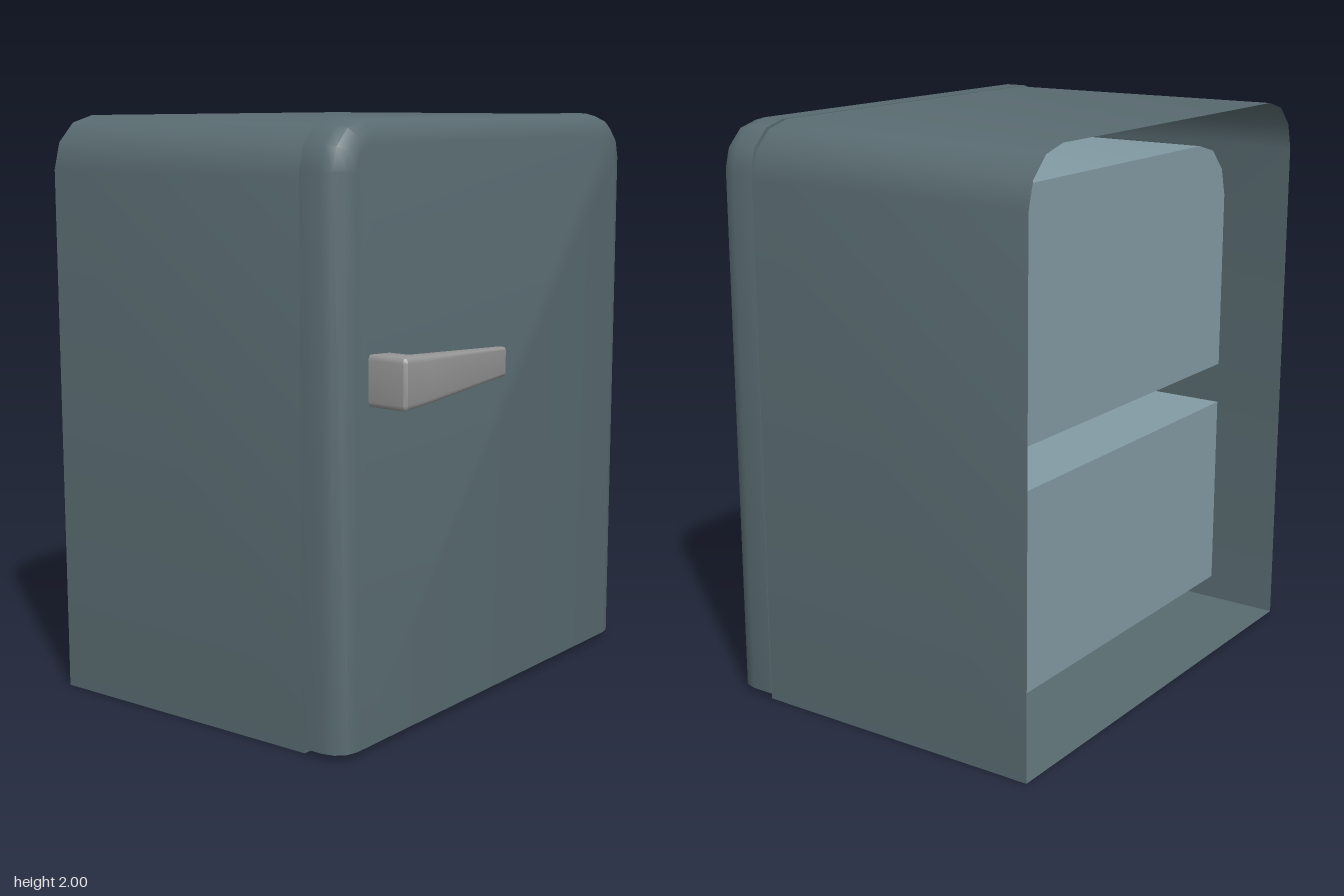
import * as THREE from 'three';
import { toCreasedNormals } from 'three/addons/utils/BufferGeometryUtils.js';

const enamel = new THREE.MeshStandardMaterial({ color: 0x596b71 });
const sheet = new THREE.MeshStandardMaterial({ color: 0x596b71, side: THREE.DoubleSide });
const lining = new THREE.MeshStandardMaterial({ color: 0x849ca5 });
const metal = new THREE.MeshStandardMaterial({ color: 0x969696 });

const STEPS = 3; // segments per rounded corner

// Upright outline with a flat bottom and two rounded top corners
function outline(halfW, bottom, top, radius) {
  const pts = [[-halfW, bottom], [halfW, bottom]];
  for (const side of [0, 1]) {
    const cx = (halfW - radius) * (side ? -1 : 1);
    for (let i = 0; i <= STEPS; i++) {
      const a = (side + i / STEPS) * Math.PI / 2;
      pts.push([cx + radius * Math.cos(a), top - radius + radius * Math.sin(a)]);
    }
  }
  return pts;
}

// Joins outlines placed at rising z; the front is closed, the back on request
function loft(rings, closeBack) {
  const n = rings[0].pts.length;
  const positions = [];
  const index = [];
  for (const { pts, z } of rings) for (const [x, y] of pts) positions.push(x, y, z);
  for (let j = 0; j < rings.length - 1; j++) {
    for (let i = 0; i < n; i++) {
      const a = j * n + i, b = j * n + (i + 1) % n;
      index.push(a, b, b + n, a, b + n, a + n);
    }
  }
  const last = (rings.length - 1) * n;
  for (let i = 1; i < n - 1; i++) {
    index.push(last, last + i, last + i + 1);
    if (closeBack) index.push(0, i + 1, i);
  }
  const geo = new THREE.BufferGeometry();
  geo.setAttribute('position', new THREE.Float32BufferAttribute(positions, 3));
  geo.setIndex(index);
  return toCreasedNormals(geo, 0.6);
}

export function createModel() {
  const model = new THREE.Group();
  model.name = 'miniFridge';
  const add = (name, geo, mat) => {
    const mesh = new THREE.Mesh(geo, mat);
    mesh.name = name;
    model.add(mesh);
    return mesh;
  };

  // Cabinet: thin sheet shell, open at the back
  const back = -0.68, seam = 0.395, front = 0.554;
  const shell = outline(0.852, 0, 1.998, 0.18);
  add('cabinet', loft([{ pts: shell, z: back }, { pts: shell, z: seam }], false), sheet);

  // Door: slightly wider, rounded toward the front on the sides and top
  const doorW = 0.859, edge = 0.08, corner = 0.16;
  const rings = [{ pts: outline(doorW, 0.02, 2, corner), z: seam }];
  for (let i = 0; i <= STEPS; i++) {
    const a = i / STEPS * Math.PI / 2;
    const inset = edge * (1 - Math.cos(a));
    rings.push({
      pts: outline(doorW - inset, 0.02, 2 - inset, corner - inset),
      z: front - edge + edge * Math.sin(a),
    });
  }
  add('door', loft(rings, true), enamel).position.x = -0.003;

  // Two inner compartments seen from behind, with a gap between them
  const linerBack = -0.478, linerFront = seam - 0.01, linerW = 0.735;
  const upper = outline(linerW, 1, 1.845, 0.2);
  add('upperLiner', loft([{ pts: upper, z: linerBack }, { pts: upper, z: linerFront }], true), lining);
  add('lowerLiner', new THREE.BoxGeometry(linerW * 2, 0.71, linerFront - linerBack), lining)
    .position.set(0, 0.495, (linerFront + linerBack) / 2);

  // Handle: L-shaped in plan, narrowing in height toward its tip
  const bevel = 0.018;
  const plan = [[-0.735, 0.53], [-0.615, 0.53], [-0.615, 0.612], [-0.145, 0.632], [-0.134, 0.638],
    [-0.13, 0.65], [-0.134, 0.663], [-0.145, 0.67], [-0.61, 0.692], [-0.725, 0.692], [-0.735, 0.682]];
  const height = 0.165;
  const handle = new THREE.ExtrudeGeometry(new THREE.Shape(plan.map(([x, y]) => new THREE.Vector2(x, y))), {
    depth: height - 2 * bevel, bevelEnabled: true, bevelThickness: bevel,
    bevelSize: 0.012, bevelOffset: -0.012, bevelSegments: 3,
  });
  handle.translate(0, 0, -(height / 2 - bevel)).rotateX(Math.PI / 2);
  const p = handle.attributes.position;
  for (let i = 0; i < p.count; i++) {
    const t = (p.getX(i) + 0.735) / 0.605;
    p.setY(i, p.getY(i) * (1 - 0.42 * t));
  }
  add('handle', toCreasedNormals(handle, 0.6), metal).position.set(0.0085, 1.2, 0.004);

  // The whole fridge stands very slightly turned
  model.rotation.y = -0.0125;
  return model;
}
